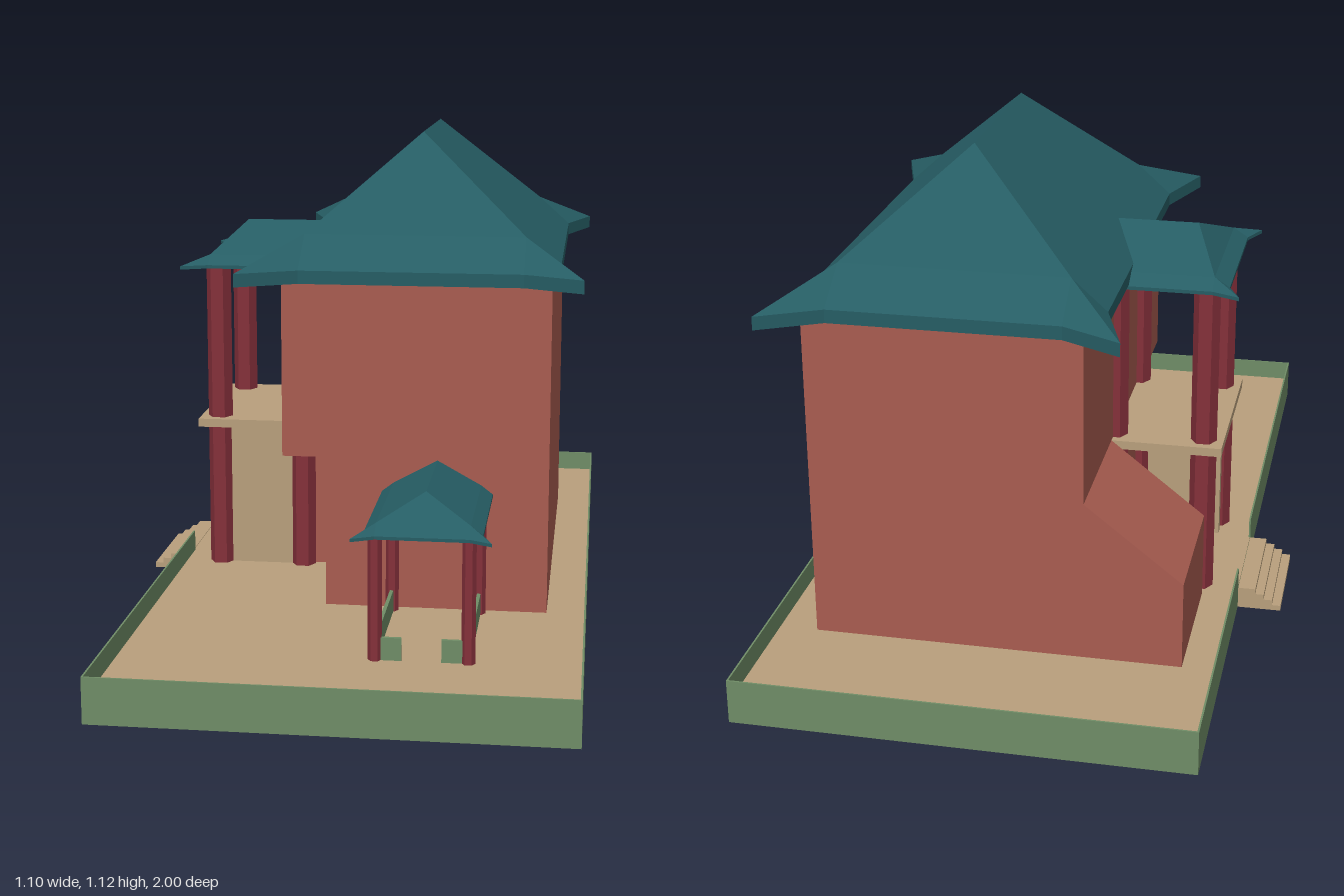
import * as THREE from 'three';

const mat = (color) => new THREE.MeshStandardMaterial({ color, flatShading: true, side: THREE.DoubleSide });
const MATS = {
  wall: mat(0xa85c50), green: mat(0x6f8c66), tan: mat(0xb89f7c),
  post: mat(0x84303a), roof: mat(0x265d64),
};

export function createModel() {
  const root = new THREE.Group();
  root.name = 'pavilionHouse';

  const add = (name, geometry, material, parent = root) => {
    const mesh = new THREE.Mesh(geometry, MATS[material]);
    mesh.name = name;
    parent.add(mesh);
    return mesh;
  };

  // Box given by its limits on each axis
  const box = (name, material, [x0, x1], [y0, y1], [z0, z1], parent) => {
    const g = new THREE.BoxGeometry(x1 - x0, y1 - y0, z1 - z0);
    g.translate((x0 + x1) / 2, (y0 + y1) / 2, (z0 + z1) / 2);
    return add(name, g, material, parent);
  };

  // Hexagonal column with corners on the x axis
  const column = (name, x, z, r, y0, y1, parent) => {
    const g = new THREE.CylinderGeometry(r, r, y1 - y0, 6);
    g.rotateY(Math.PI / 2);
    g.translate(x, (y0 + y1) / 2, z);
    return add(name, g, 'post', parent);
  };

  // Half of a hip roof: ridge along z, flared hip end at +z, plain end at z = 0
  const halfRoof = (name, { eave, kink, tip, ridgeZ, sideX, endZ, y }, parent) => {
    const [kx, kz] = kink, [tx, tz] = tip;
    const outline = [[-sideX, 0], [-sideX, kz], [-tx, tz], [-kx, endZ], [kx, endZ], [tx, tz], [sideX, kz], [sideX, 0]];
    const kinks = [[-kx, 0], [-kx, kz], [-kx, kz], [-kx, kz], [kx, kz], [kx, kz], [kx, kz], [kx, 0]];
    const ridge = outline.map((p, i) => [0, i === 0 || i === 7 ? 0 : ridgeZ]);
    const centre = outline.map(() => [0, 0]);
    const rings = [[centre, y[0]], [outline, y[0]], [outline, y[1]], [kinks, y[2]], [ridge, y[3]]]
      .map(([pts, h]) => pts.map(([px, pz]) => new THREE.Vector3(px, h, pz)));
    const pos = [];
    const tri = (a, b, c) => {
      const area = b.clone().sub(a).cross(c.clone().sub(a)).length();
      if (area > 1e-7) [a, b, c].forEach((v) => pos.push(v.x, v.y, v.z));
    };
    for (let r = 0; r < rings.length - 1; r++) {
      for (let i = 0; i < 7; i++) {
        const lo = rings[r], hi = rings[r + 1];
        tri(lo[i], lo[i + 1], hi[i + 1]);
        tri(lo[i], hi[i + 1], hi[i]);
      }
    }
    const g = new THREE.BufferGeometry();
    g.setAttribute('position', new THREE.Float32BufferAttribute(pos, 3));
    g.computeVertexNormals();
    return add(name, g, 'roof', parent);
  };

  // Yard: raised floor inside a thin low wall with a gap at the steps
  const X0 = -0.45, X1 = 0.545, T = 0.004, F = 0.05;
  const gate = [-0.305, -0.045];
  box('yardFloor', 'tan', [X0 + 0.001, X1 - 0.001], [F - 0.004, F], [-0.999, 0.999]);
  const yard = new THREE.Group();
  yard.name = 'yardWall';
  root.add(yard);
  box('frontWall', 'green', [X0, X1], [0, 0.1], [1 - T, 1], yard);
  box('backWall', 'green', [X0, X1], [0, 0.1], [-1, -1 + T], yard);
  box('eastWall', 'green', [X1 - T, X1], [0, 0.1], [-1, 1], yard);
  box('westWallBack', 'green', [X0, X0 + T], [0, 0.1], [-1, gate[0]], yard);
  box('westWallFront', 'green', [X0, X0 + T], [0, 0.1], [gate[1], 1], yard);
  box('gateSill', 'green', [X0, X0 + T], [0, F - 0.004], gate, yard);

  // Entrance steps
  [-0.55, -0.53, -0.51, -0.49].forEach((x, i, a) => {
    box('step', 'tan', [x, i < 3 ? a[i + 1] : X0], [0, 0.0125 * (i + 1)], gate);
  });

  // House body, with an open recess in the lower front corner
  const HX = [-0.153, 0.455];
  const house = new THREE.Group();
  house.name = 'house';
  root.add(house);
  box('upperStorey', 'wall', HX, [0.4, 0.8], [-0.68, 0.34], house);
  box('lowerStoreyBack', 'wall', HX, [F, 0.4], [-0.68, 0.02], house);
  box('lowerStoreyFront', 'wall', [-0.053, HX[1]], [F, 0.4], [0.02, 0.34], house);

  // Lean-to room with a sloping roof
  const profile = new THREE.Shape([[-0.37, F], [-0.153, F], [-0.153, 0.42], [-0.37, 0.25]]
    .map(([x, y]) => new THREE.Vector2(x, y)));
  const leanTo = new THREE.ExtrudeGeometry(profile, { depth: 0.335, bevelEnabled: false });
  leanTo.translate(0, 0, -0.68);
  add('leanToRoom', leanTo, 'wall');

  // Main roof from two half roofs
  const mainRoof = new THREE.Group();
  mainRoof.name = 'mainRoof';
  mainRoof.position.set(0.14, 0, -0.175);
  root.add(mainRoof);
  for (const turn of [0, Math.PI]) {
    halfRoof('mainRoofHalf', {
      kink: [0.2525, 0.43], tip: [0.385, 0.6], sideX: 0.33, endZ: 0.53, ridgeZ: 0.2275, y: [0.8, 0.83, 0.9, 1.12],
    }, mainRoof).rotation.y = turn;
  }

  // Side balcony: columns, slab, screen wall and entrance frame
  const balcony = new THREE.Group();
  balcony.name = 'balcony';
  root.add(balcony);
  for (const x of [-0.359, -0.154]) {
    for (const z of [-0.3, 0.03]) column('balconyColumn', x, z, 0.03, F, 0.795, balcony);
  }
  box('balconySlab', 'tan', [-0.405, -0.153], [0.4, 0.42], [-0.345, 0.077], balcony);
  box('screenWall', 'tan', [-0.359, -0.154], [F, 0.4], [0.025, 0.035], balcony);
  box('frameLintel', 'tan', [-0.37, -0.35], [0.375, 0.4], [-0.3, 0.03], balcony);
  for (const z of [-0.265, -0.025]) {
    box('framePost', 'tan', [-0.37, -0.35], [F, 0.375], [z - 0.012, z + 0.012], balcony);
  }
  const balconyRoof = halfRoof('balconyRoof', {
    kink: [0.18, 0.276], tip: [0.242, 0.337], sideX: 0.215, endZ: 0.31, ridgeZ: 0.215, y: [0.79, 0.798, 0.82, 0.885],
  }, balcony);
  balconyRoof.position.set(-0.1, 0, -0.137);
  balconyRoof.rotation.y = -Math.PI / 2;

  // Front porch: columns, roof and low railing with a gap
  const porch = new THREE.Group();
  porch.name = 'porch';
  root.add(porch);
  const PX = [0.103, 0.302], PZ = [0.36, 0.69], R = 0.004;
  for (const x of PX) {
    for (const z of PZ) column('porchColumn', x, z, 0.015, F, 0.32, porch);
    box('sideRailing', 'green', [x - R, x + R], [F, 0.1], [0.34, 0.69], porch);
  }
  box('frontRailing', 'green', [PX[0], 0.16], [F, 0.1], [0.69 - R, 0.69 + R], porch);
  box('frontRailing', 'green', [0.245, PX[1]], [F, 0.1], [0.69 - R, 0.69 + R], porch);
  halfRoof('porchRoof', {
    kink: [0.1, 0.33], tip: [0.148, 0.39], sideX: 0.126, endZ: 0.365, ridgeZ: 0.268, y: [0.318, 0.325, 0.345, 0.4],
  }, porch).position.set(0.203, 0, 0.34);

  return root;
}
